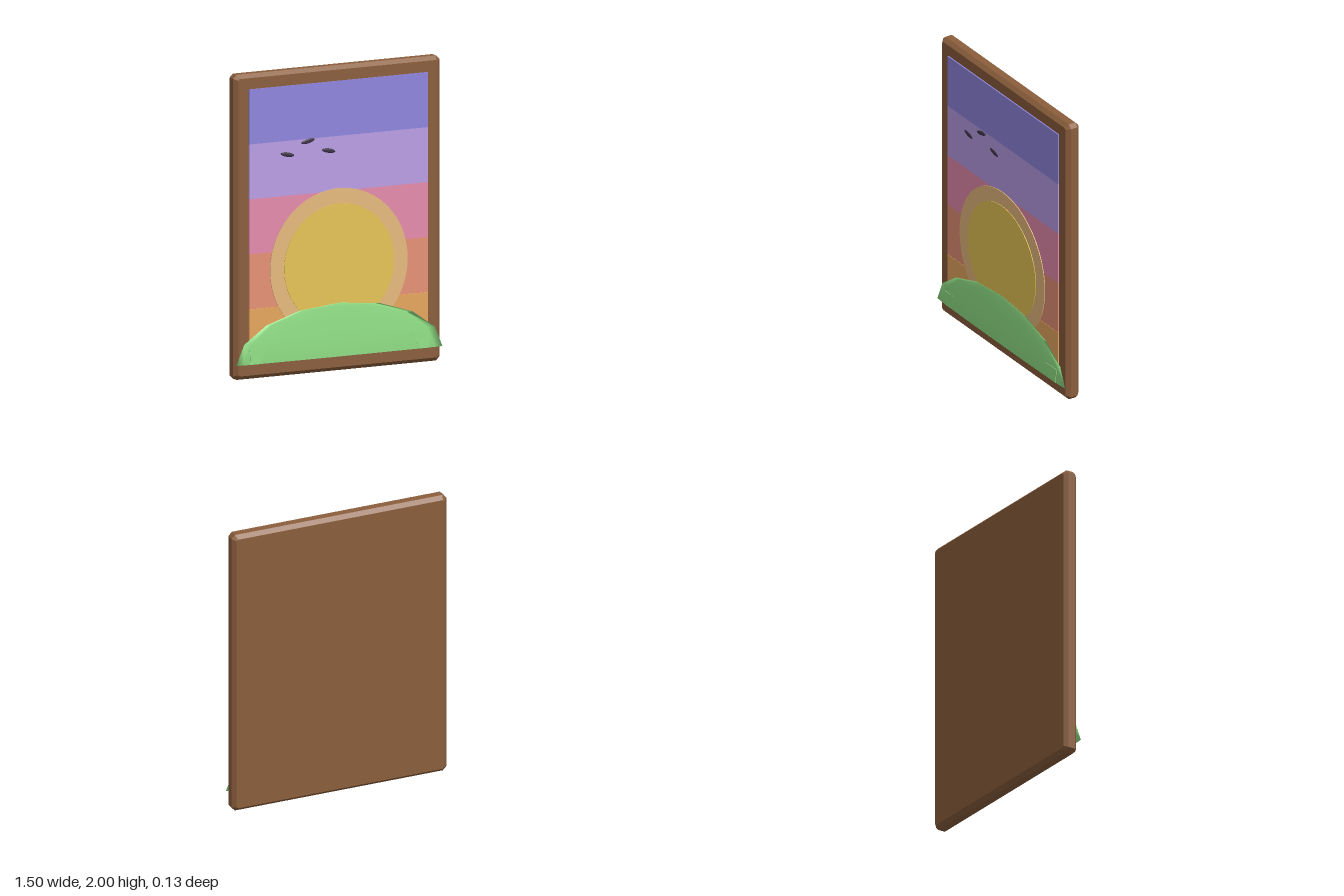
import * as THREE from 'three';

const paint = (name, color) => {
  const m = new THREE.MeshStandardMaterial({ color });
  m.name = name;
  return m;
};

export function createModel() {
  const group = new THREE.Group();
  const add = (name, geometry, material, x, y, z) => {
    const mesh = new THREE.Mesh(geometry, material);
    mesh.name = name;
    mesh.position.set(x, y, z);
    group.add(mesh);
    return mesh;
  };

  // Wooden board: chamfered on every edge and corner
  const bevel = 0.025, cut = 0.01, w = 0.75 - bevel, h = 1 - bevel;
  const outline = new THREE.Shape([
    [w - cut, -h], [w, cut - h], [w, h - cut], [w - cut, h],
    [cut - w, h], [-w, h - cut], [-w, cut - h], [cut - w, -h],
  ].map(([x, y]) => new THREE.Vector2(x, y)));
  const board = new THREE.ExtrudeGeometry(outline, {
    depth: 0.05, bevelSize: bevel, bevelThickness: bevel, bevelSegments: 1,
  });
  add('frame', board, paint('brown wood', 0x8b5e3c), 0, 1, -0.04);

  // Sky bands, bottom to top
  const sky = [
    ['amber', 0xffb868], ['coral', 0xffa182], ['pink', 0xff9bbf],
    ['lilac', 0xceaefe], ['indigo', 0x8f86de],
  ];
  sky.forEach(([name, color], i) => {
    add(name + 'SkyBand', new THREE.BoxGeometry(1.3, 0.36, 0.009),
      paint(name, color), 0, 0.28 + i * 0.36 + (i === 0 ? 0 : 0.002), 0.0395);
  });

  // Sun and its halo
  const disc = (r) => new THREE.CylinderGeometry(r, r, 0.006, 48).rotateX(Math.PI / 2);
  add('sunHalo', disc(0.5), paint('pale gold', 0xf8c987), 0, 0.7, 0.046);
  add('sun', disc(0.4), paint('gold', 0xfdd75f), 0, 0.7, 0.05);

  // Hill: flattened dome, closed below, with normals shared across the bottom rim
  const green = paint('grass green', 0x92e287);
  const segs = 16, rows = 4, points = [], faces = [];
  for (let r = 0; r <= rows; r++) {
    const t = (r / rows) * Math.PI / 2;
    for (let s = 0; s < segs; s++) {
      const p = (s / segs) * Math.PI * 2;
      points.push(0.75 * Math.sin(t) * Math.cos(p), 0.35 * Math.cos(t), 0.011 * Math.sin(t) * Math.sin(p));
    }
  }
  const base = points.length / 3;
  points.push(0, 0, 0);
  for (let s = 0; s < segs; s++) {
    const n = (s + 1) % segs;
    for (let r = 0; r < rows; r++) {
      const a = r * segs + s, b = r * segs + n, c = a + segs, d = b + segs;
      if (r > 0) faces.push(a, b, c);
      faces.push(b, d, c);
    }
    faces.push(base, rows * segs + s, rows * segs + n);
  }
  const dome = new THREE.BufferGeometry();
  dome.setAttribute('position', new THREE.Float32BufferAttribute(points, 3));
  dome.setIndex(faces);
  dome.computeVertexNormals();
  add('hill', dome, green, 0, 0.1, 0.055);

  // Small grass patches at both ends of the hill
  for (const side of [-1, 1]) {
    const patch = new THREE.Shape([[0.58, 0], [0.65, 0], [0.655, 0.1], [0.53, 0.1]]
      .map(([x, y]) => new THREE.Vector2(side * x, y)));
    add(side < 0 ? 'rightGrassPatch' : 'leftGrassPatch',
      new THREE.ExtrudeGeometry(patch, { depth: 0.006, bevelEnabled: false }), green, 0, 0.1, 0.057);
  }

  // Birds: slim tilted ovals
  const dark = paint('dark plum', 0x3d3347);
  [[-0.38, 1.455, -0.2], [-0.23, 1.53, 0.2], [-0.08, 1.455, -0.2]].forEach(([x, y, tilt], i) => {
    const bird = add('bird' + (i + 1), new THREE.SphereGeometry(1, 12, 8), dark, x, y, 0.058);
    bird.scale.set(0.05, 0.015, 0.005);
    bird.rotation.z = tilt;
  });

  return group;
}
